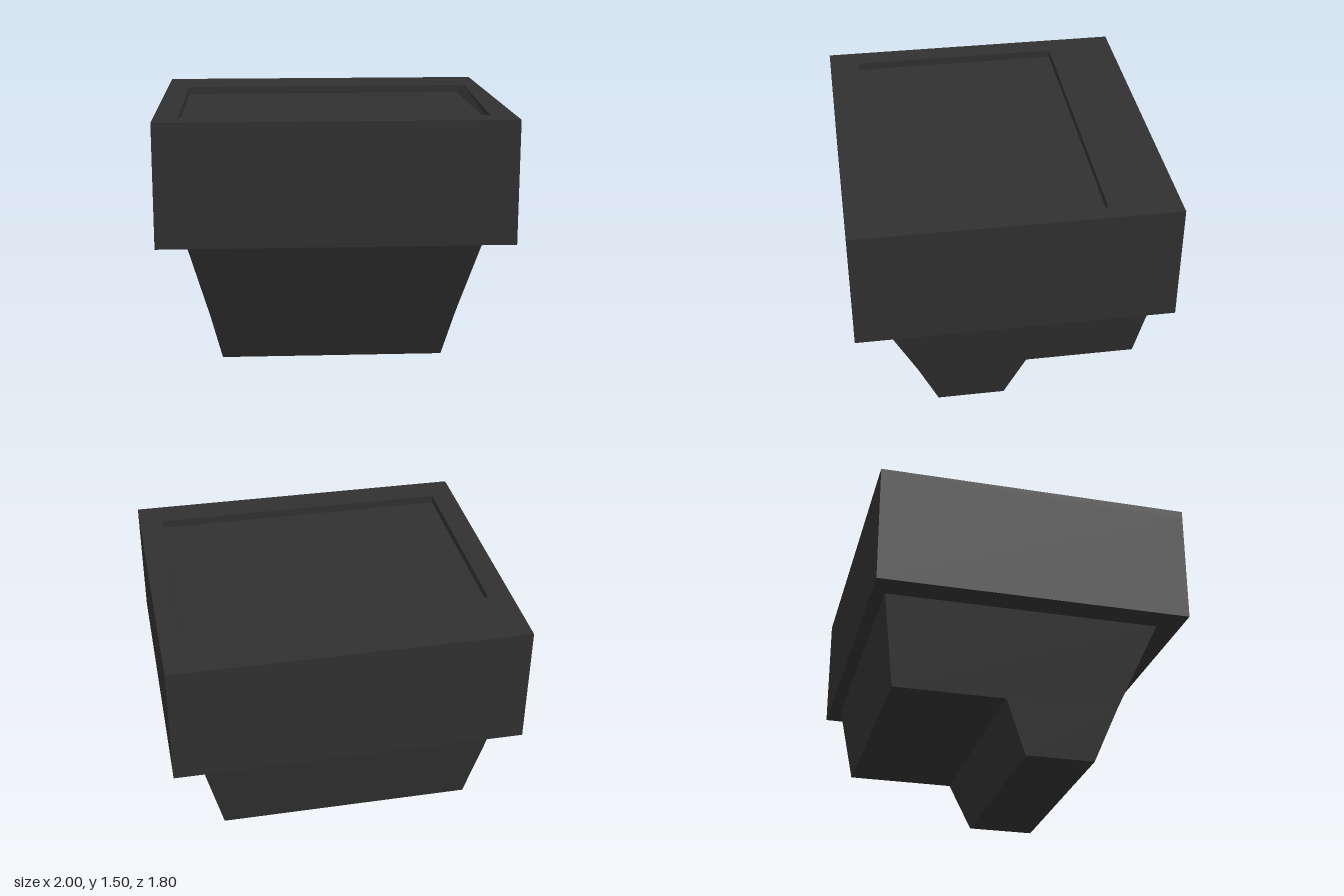
import * as THREE from 'three';

// Box whose bottom and top rectangles differ: each is { y, x: half width, back, front }
function taperedBox(bottom, top) {
  const g = new THREE.BoxGeometry(1, 1, 1);
  const p = g.attributes.position;
  for (let i = 0; i < p.count; i++) {
    const r = p.getY(i) > 0 ? top : bottom;
    p.setXYZ(i, Math.sign(p.getX(i)) * r.x, r.y, p.getZ(i) > 0 ? r.front : r.back);
  }
  g.computeVertexNormals();
  return g;
}

// Rim around the shallow tray; the right inner wall leans outward at the back
function rimGeometry(y0, y1) {
  const s = new THREE.Shape([[-1, -0.9], [1, -0.9], [1, 0.9], [-1, 0.9]].map(([x, y]) => new THREE.Vector2(x, y)));
  const hole = [[-0.865, -0.72], [-0.865, 0.5], [0.86, 0.5], [0.86, -0.72]];
  s.holes.push(new THREE.Path(hole.map(([x, y]) => new THREE.Vector2(x, y))));
  const g = new THREE.ExtrudeGeometry(s, { depth: y1 - y0, bevelEnabled: false });
  g.rotateX(-Math.PI / 2).translate(0, y0, 0);
  const p = g.attributes.position;
  for (let i = 0; i < p.count; i++) {
    const backRight = Math.abs(p.getX(i) - 0.86) < 0.002 && Math.abs(p.getZ(i) + 0.5) < 0.002;
    if (backRight && p.getY(i) > (y0 + y1) / 2) p.setX(i, 0.905);
  }
  g.computeVertexNormals();
  return g;
}

export function createModel() {
  const group = new THREE.Group();
  const charcoal = new THREE.MeshStandardMaterial({ color: 0x303030 });
  charcoal.name = 'charcoal';
  const add = (name, geometry) => {
    const mesh = new THREE.Mesh(geometry, charcoal);
    mesh.name = name;
    group.add(mesh);
  };

  // Large upper block; its top is the tray floor
  const floorY = 1.455;
  const block = (y) => ({ y, x: 1, back: -0.9, front: 0.9 });
  add('upperBlock', taperedBox(block(0.8), block(floorY)));
  add('trayRim', rimGeometry(floorY, 1.5));

  // Tapering underside with a stepped foot toward the front
  add('taperedBase', taperedBox(
    { y: 0.3, x: 0.72, back: -0.75, front: 0.54 },
    { y: 0.8, x: 0.84, back: -0.825, front: 0.76 }));
  add('foot', taperedBox(
    { y: 0, x: 0.655, back: 0.02, front: 0.42 },
    { y: 0.3, x: 0.72, back: -0.105, front: 0.54 }));

  return group;
}
